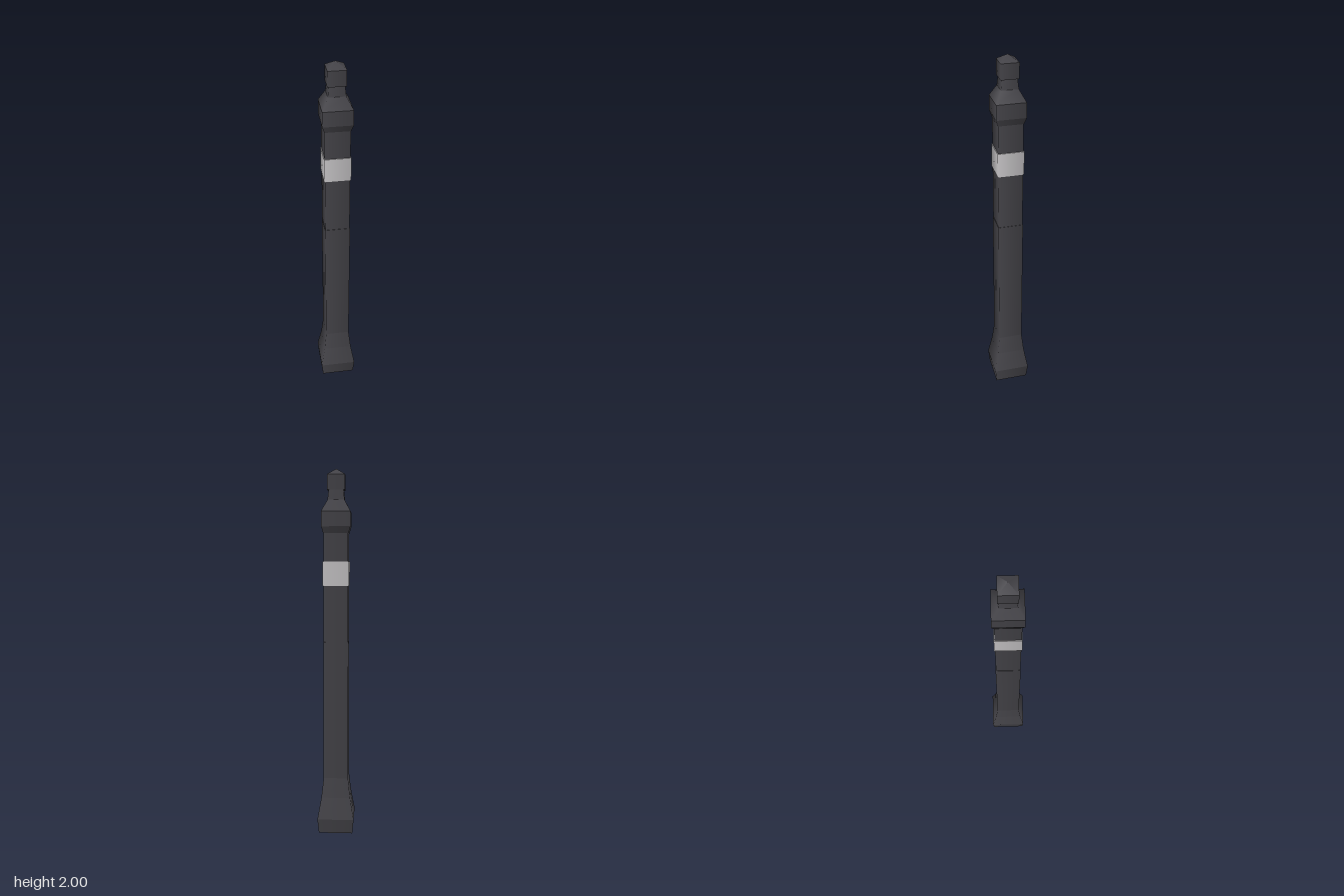
import * as THREE from 'three';

export function createModel() {
  const model = new THREE.Group();
  model.name = 'bollard';
  const darkIron = new THREE.MeshStandardMaterial({ color: 0x444348 });
  darkIron.name = 'dark iron';
  const silver = new THREE.MeshStandardMaterial({ color: 0xc6c4c6 });
  silver.name = 'silver';

  // Four-sided rings with corners on the axes; each [radius, y] pair starts a new tier
  function tiers(name, profile, material) {
    const part = new THREE.Group();
    part.name = name;
    for (let i = 0; i < profile.length - 1; i++) {
      const [r0, y0] = profile[i];
      const [r1, y1] = profile[i + 1];
      const geometry = y0 === y1
        ? new THREE.LatheGeometry([new THREE.Vector2(r0, y0), new THREE.Vector2(r1, y1)], 4)
        : new THREE.CylinderGeometry(r1, r0, y1 - y0, 4, 1, true).translate(0, (y0 + y1) / 2, 0);
      const mesh = new THREE.Mesh(geometry, material);
      mesh.name = `${name}Tier${i + 1}`;
      part.add(mesh);
    }
    model.add(part);
  }

  // Flared foot, closed underneath
  tiers('foot', [[0, 0], [0.132, 0], [0.143, 0.08], [0.113, 0.2], [0.096, 0.31]], darkIron);
  // Post, slightly slimmer in its upper half
  tiers('post', [[0.096, 0.31], [0.096, 1.075], [0.093, 1.075], [0.093, 1.67]], darkIron);
  // Bright band around the post
  tiers('band', [[0.09, 1.38], [0.099, 1.38], [0.099, 1.51], [0.09, 1.51]], silver);
  // Collar tapering into the neck
  tiers('collar', [[0.08, 1.655], [0.095, 1.66], [0.11, 1.695], [0.11, 1.775],
    [0.064, 1.835], [0.056, 1.89]], darkIron);
  // Pointed cap
  tiers('cap', [[0.05, 1.887], [0.067, 1.887], [0.067, 1.968], [0, 2]], darkIron);
  return model;
}
